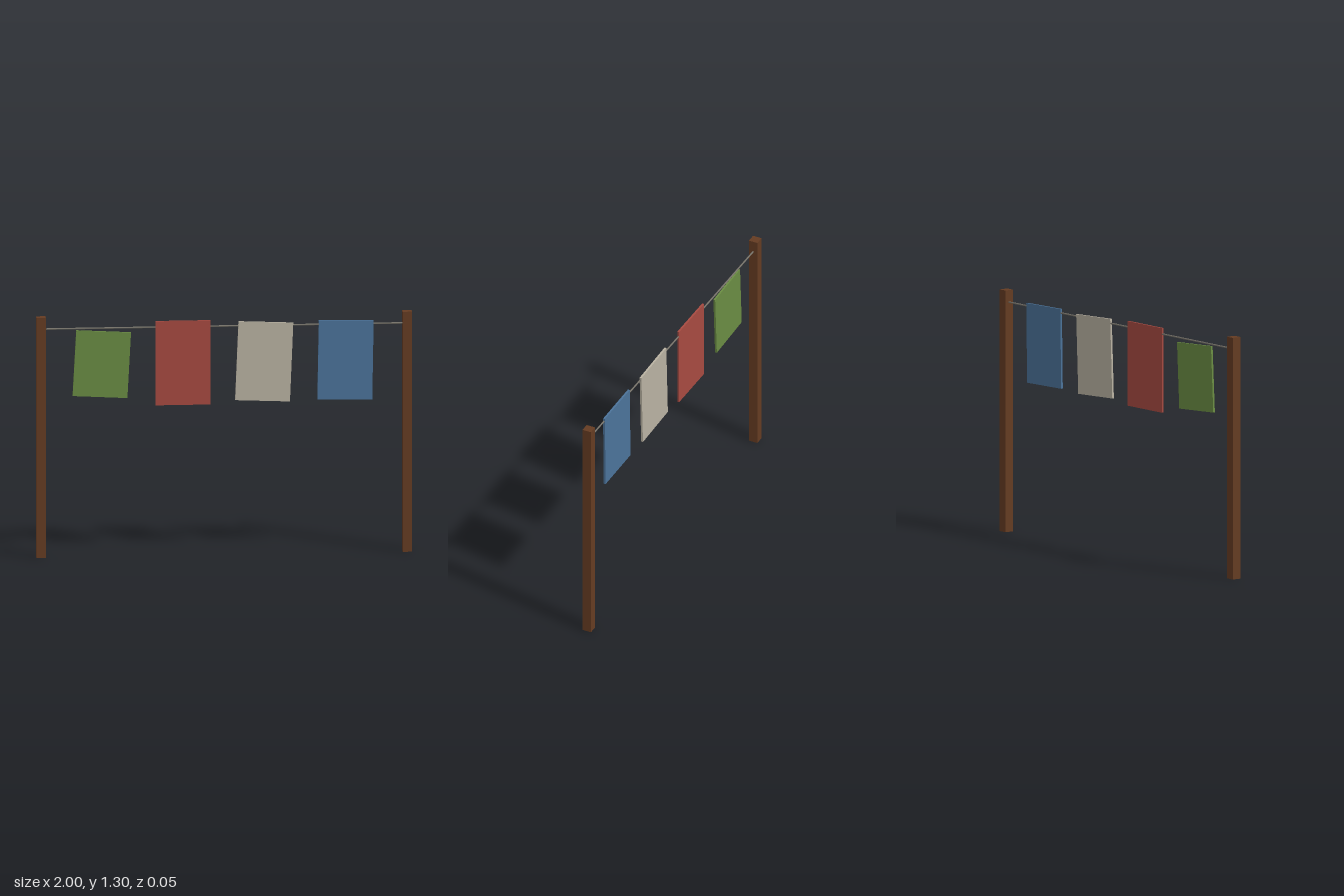
import * as THREE from 'three';

const material = (name, color) => {
  const m = new THREE.MeshStandardMaterial({ color });
  m.name = name;
  return m;
};

export function createModel() {
  const group = new THREE.Group();
  group.name = 'clothesline';
  const wood = material('brown wood', 0x653c22);
  const cord = material('grey cord', 0x77736a);

  const add = (name, geometry, mat, x, y, tilt = 0) => {
    const mesh = new THREE.Mesh(geometry, mat);
    mesh.name = name;
    mesh.position.set(x, y, 0);
    mesh.rotation.z = tilt;
    group.add(mesh);
  };

  // Square posts
  for (const [name, side] of [['leftPost', 1], ['rightPost', -1]]) {
    add(name, new THREE.BoxGeometry(0.05, 1.3, 0.05), wood, side * 0.975, 0.65);
  }

  // Taut line between the posts
  add('line', new THREE.CylinderGeometry(0.0045, 0.0045, 1.95, 8), cord, 0, 1.235, Math.PI / 2);

  // Hanging cloths: name, colour, x, height, tilt
  const cloths = [
    ['greenCloth', 0x6a8c43, -0.651, 0.355, -0.055],
    ['redCloth', 0xa74a41, -0.219, 0.455, 0],
    ['beigeCloth', 0xb9b2a2, 0.214, 0.426, -0.042],
    ['blueCloth', 0x4b739a, 0.647, 0.428, -0.018],
  ];
  for (const [name, color, x, height, tilt] of cloths) {
    add(name, new THREE.BoxGeometry(0.292, height, 0.011), material(name + ' fabric', color), x, 1.04, tilt);
  }

  return group;
}
